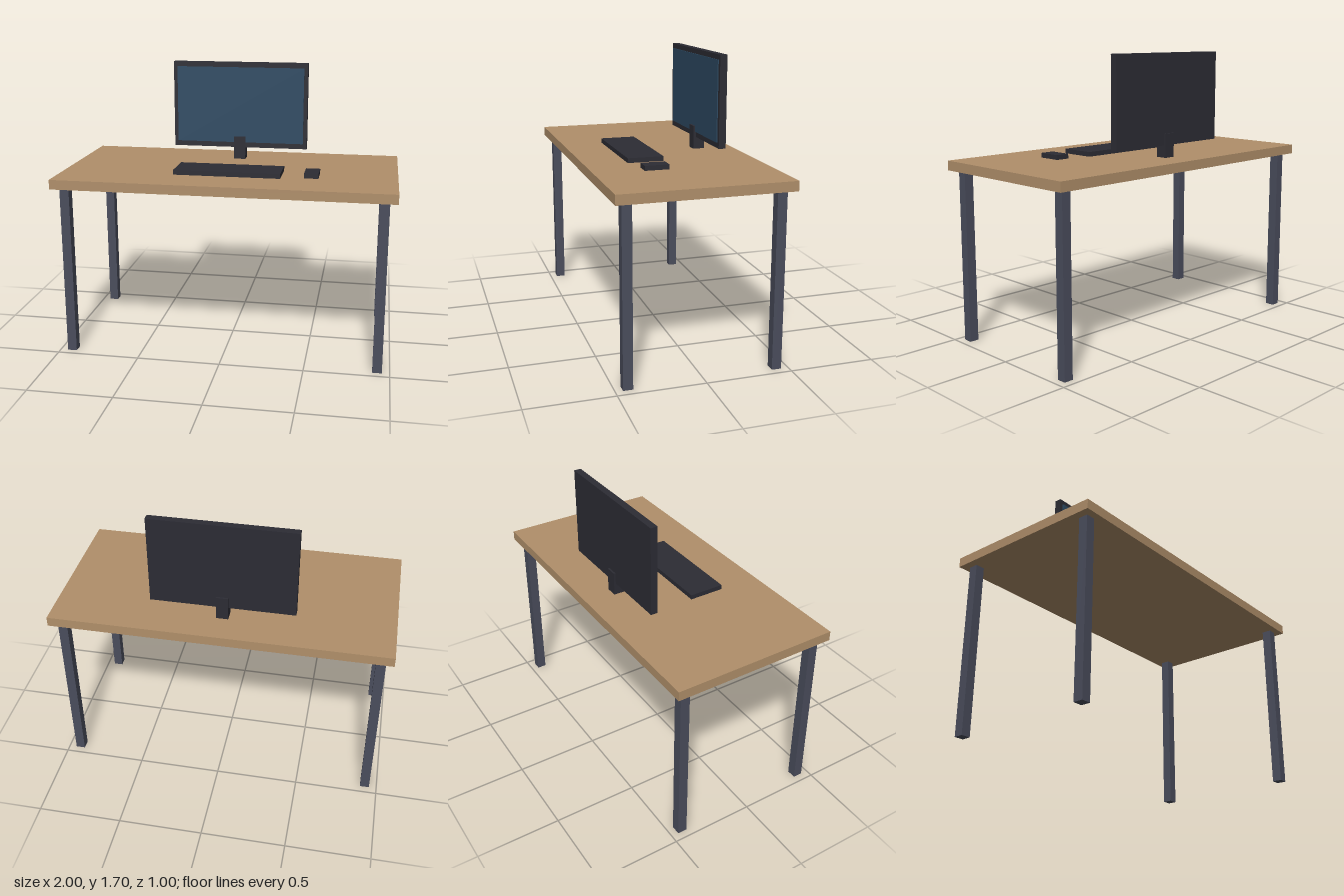
import * as THREE from 'three';

function material(name, color) {
  const m = new THREE.MeshStandardMaterial({ color });
  m.name = name;
  return m;
}

export function createModel() {
  const wood = material('wood', 0xb08f6a);
  const metal = material('leg metal', 0x4a4d5c);
  const plastic = material('dark plastic', 0x2c2c34);
  const glass = material('screen blue', 0x2d4a63);

  const model = new THREE.Group();
  model.name = 'computerDesk';

  // Box given by its lower and upper limits on each axis
  function box(name, mat, [x0, x1], [y0, y1], [z0, z1], parent = model) {
    const mesh = new THREE.Mesh(new THREE.BoxGeometry(x1 - x0, y1 - y0, z1 - z0), mat);
    mesh.position.set((x0 + x1) / 2, (y0 + y1) / 2, (z0 + z1) / 2);
    mesh.name = name;
    parent.add(mesh);
    return mesh;
  }

  const floorOfTop = 1.03, deskY = 1.087;

  // Table: top and four square legs
  const table = new THREE.Group();
  table.name = 'table';
  model.add(table);
  box('tableTop', wood, [-1, 1], [floorOfTop, deskY], [-0.5, 0.5], table);
  for (const sx of [-1, 1]) {
    for (const sz of [-1, 1]) {
      const name = (sz > 0 ? 'front' : 'back') + (sx > 0 ? 'Left' : 'Right') + 'Leg';
      const x = sx * 0.927, z = sz * 0.429, h = 0.028;
      box(name, metal, [x - h, x + h], [0, floorOfTop], [z - h, z + h], table);
    }
  }

  // Monitor: casing, thin screen plate and upright stand
  const monitor = new THREE.Group();
  monitor.name = 'monitor';
  model.add(monitor);
  box('casing', plastic, [-0.427, 0.427], [1.16, 1.70], [-0.309, -0.266], monitor);
  box('screen', glass, [-0.403, 0.403], [1.193, 1.67], [-0.267, -0.26], monitor);
  box('stand', plastic, [-0.036, 0.036], [deskY, 1.23], [-0.32, -0.25], monitor);

  // Keyboard and mouse on the table top
  box('keyboard', plastic, [-0.32, 0.32], [deskY, 1.115], [0.034, 0.249]);
  box('mouse', plastic, [0.455, 0.54], [deskY, 1.115], [0.069, 0.212]);

  return model;
}
